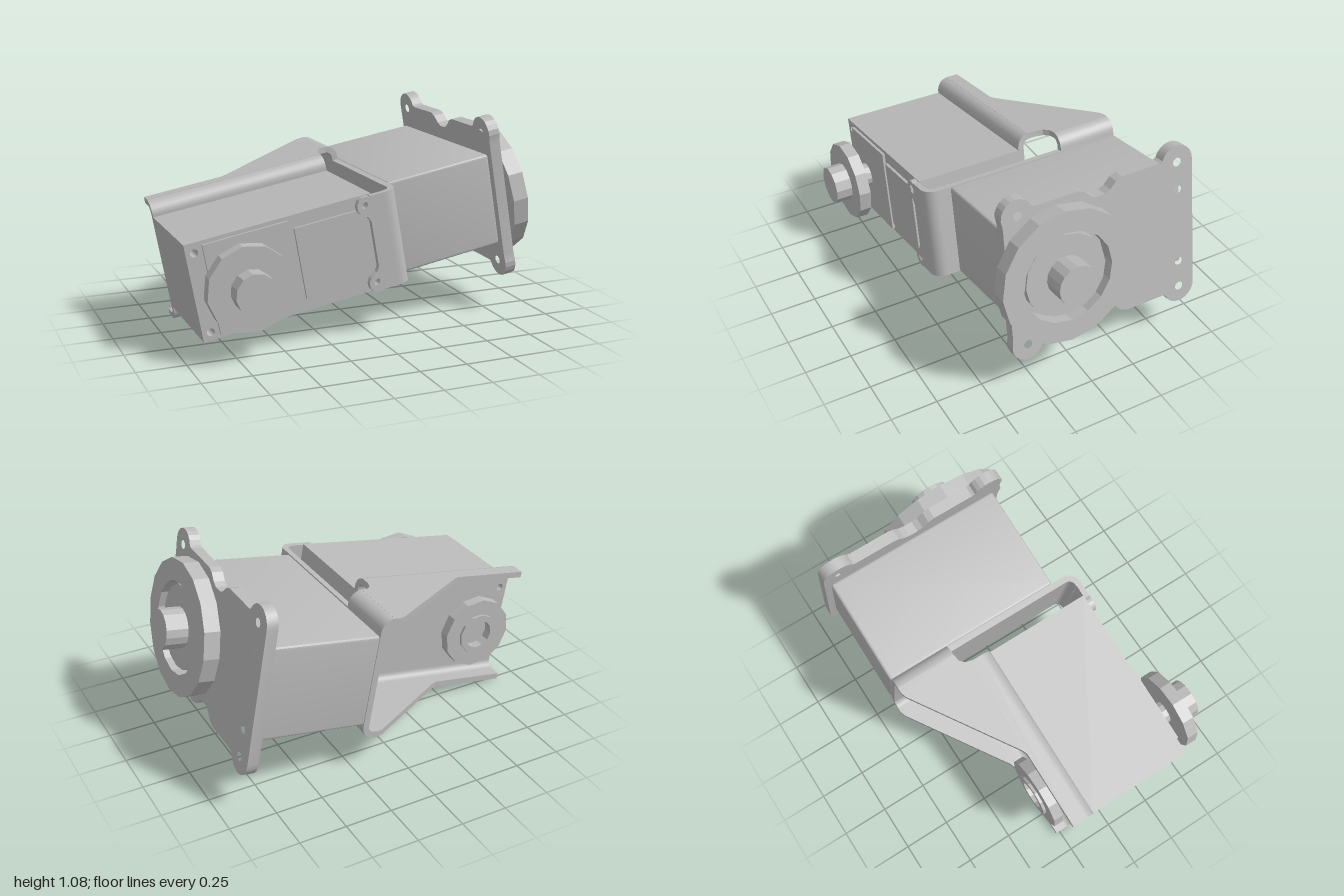
import * as THREE from 'three';
import { toCreasedNormals } from 'three/addons/utils/BufferGeometryUtils.js';
import { RoundedBoxGeometry } from 'three/addons/geometries/RoundedBoxGeometry.js';

const rad = THREE.MathUtils.degToRad;

// Points along an arc, angles in degrees
function arc(cx, cy, r, from, to, n = 6) {
  return Array.from({ length: n + 1 }, (_, i) => {
    const a = rad(from + ((to - from) * i) / n);
    return [cx + r * Math.cos(a), cy + r * Math.sin(a)];
  });
}

// Extruded outline with round holes given as [x, y, radius]
function slab(points, depth, holes = []) {
  const shape = new THREE.Shape(points.map(([x, y]) => new THREE.Vector2(x, y)));
  for (const [x, y, r] of holes) {
    shape.holes.push(new THREE.Path().absarc(x, y, r, 0, Math.PI * 2, true));
  }
  return new THREE.ExtrudeGeometry(shape, { depth, bevelEnabled: false, curveSegments: 12 });
}

const rect = (x0, y0, x1, y1) => [[x0, y0], [x1, y0], [x1, y1], [x0, y1]];

// Bent sheet profile: outer corner at the origin, arms a (along -x) and b (along -y * side)
function bend(a, b, side = 1, r = 0.07, t = 0.033) {
  return [
    [0, -b], ...arc(-r, -r, r, 0, 90), [-a, 0],
    [-a, -t], ...arc(-r, -r, r - t, 90, 0), [-t, -b],
  ].map(([x, y]) => [x, y * side]);
}

function lathe(points, sides) {
  return new THREE.LatheGeometry(points.map(([x, y]) => new THREE.Vector2(x, y)), sides);
}

export function createModel() {
  const grey = new THREE.MeshStandardMaterial({ color: 0xbababa });
  grey.name = 'metal grey';
  const arm = new THREE.Group();
  arm.name = 'tiltedArm';

  const add = (name, geometry, x = 0, y = 0, z = 0) => {
    const mesh = new THREE.Mesh(toCreasedNormals(geometry, 0.3), grey);
    mesh.name = name;
    mesh.position.set(x, y, z);
    arm.add(mesh);
  };

  const mid = 0.498;
  const top = 0.834, bottom = 0.162;
  const cornerHoles = [];
  for (const u of [-0.823, 0.071]) {
    for (const v of [0.287, 0.698]) cornerHoles.push([u, v, 0.02]);
  }

  // First motor: body with through holes and raised front panels
  add('firstMotorBody', slab(rect(-0.867, 0.244, 0.114, 0.751), 0.585, cornerHoles), 0, 0, -0.14);
  add('hornPanel', slab(rect(-0.78, 0.264, -0.34, 0.731), 0.015), 0, 0, 0.445);
  add('wiringPanel', slab(rect(-0.315, 0.31, 0.02, 0.685), 0.015), 0, 0, 0.445);

  // First motor output horn, facing front
  add('frontHorn', lathe([
    [0, 0], [0.065, 0], [0.065, 0.08], [0.22, 0.08], [0.22, 0.145],
    [0.105, 0.145], [0.105, 0.235], [0, 0.235],
  ], 12).rotateX(Math.PI / 2), -0.623, 0.496, 0.455);

  // Idler horn with a ring, facing back
  add('backHorn', lathe([
    [0, 0], [0.09, 0], [0.09, 0.08], [0.2, 0.08], [0.2, 0.135],
    [0.115, 0.135], [0.115, 0.15], [0.08, 0.15], [0.08, 0.1], [0, 0.1],
  ], 12).rotateX(-Math.PI / 2), -0.623, 0.496, -0.17);

  // Bracket: sheet behind the first motor
  add('bracketBackWeb', slab(rect(-0.867, bottom + 0.07, 0.114, top - 0.07), 0.033, cornerHoles), 0, 0, -0.173);

  // Bracket: tapered top and bottom flanges with bends to both webs
  const flange = [
    [-0.867, -0.2], [0.114, -0.2], [0.114, -0.25], [0.125, -0.29], [0.15, -0.314], [0.19, -0.32],
    [0.19, -0.65], [0.16, -0.65], [0.13, -0.64], [-0.41, -0.285], [-0.44, -0.273], [-0.867, -0.273],
  ];
  for (const side of [1, -1]) {
    const v = side > 0 ? top : bottom;
    add('bracketFlange', slab(flange, 0.033).rotateX(Math.PI / 2), 0, side > 0 ? top : bottom + 0.033, 0);
    add('bracketBackBend', slab(bend(0.075, 0.075, side), 0.981).rotateY(-Math.PI / 2), 0.114, v, -0.14);
    add('bracketEndWeb', slab(bend(0.08, 0.336, side), 0.33), 0.255, v, -0.65);
  }

  // Bracket: narrow web folding round to the front ears
  add('bracketFrontWeb', slab(bend(0.08, 0.795), 0.502).rotateX(Math.PI / 2), 0.255, 0.746, 0.475);
  const ears = [
    [0.18, 0.244], [0.1, 0.244], ...arc(0.071, 0.287, 0.05, -60, -240, 10), [0.07, 0.345],
    [0.085, 0.37], [0.085, 0.615], [0.07, 0.64], ...arc(0.071, 0.698, 0.05, 240, 60, 10),
    [0.1, 0.746], [0.18, 0.746],
  ];
  add('bracketFrontEars', slab(ears, 0.03, [[0.071, 0.287, 0.022], [0.071, 0.698, 0.022]]), 0, 0, 0.445);

  // Second motor body
  add('secondMotorBody', new RoundedBoxGeometry(0.595, 0.502, 0.995, 2, 0.015), 0.552, 0.495, -0.157);

  // Second motor mounting plate with four round ears and a waist
  const half = [
    [-0.38, 0.31], ...arc(-0.3, 0.36, 0.087, 200, 20, 10), [-0.2, 0.383],
    [0.03, 0.383], [0.065, 0.37], [0.1, 0.335], [0.13, 0.32], [0.18, 0.32],
    [0.21, 0.335], [0.245, 0.37], [0.28, 0.383], [0.5, 0.383],
    ...arc(0.6, 0.36, 0.09, 160, 0, 10),
  ];
  const outline = [...half, ...half.map(([x, y]) => [x, -y]).reverse()];
  const plateHoles = [];
  for (const s of [1, -1]) {
    plateHoles.push([-0.3, 0.36 * s, 0.023], [0.6, 0.36 * s, 0.023], [0.6, 0.208 * s, 0.022]);
  }
  add('mountingPlate', slab(outline, 0.06, plateHoles).rotateY(Math.PI / 2), 0.845, mid, 0);

  // Second motor output horn: grooved disc and central boss
  add('endHorn', lathe([
    [0, 0], [0.36, 0], [0.36, 0.085], [0.245, 0.085], [0.245, 0.01], [0.222, 0.01],
    [0.222, 0.06], [0.107, 0.06], [0.107, 0.178], [0, 0.178],
  ], 16).rotateZ(-Math.PI / 2), 0.905, 0.492, 0.095);

  // The whole arm leans upward to its left
  arm.rotation.z = rad(10);
  arm.position.y = -0.008;
  const model = new THREE.Group();
  model.name = 'motorArm';
  model.add(arm);
  return model;
}
